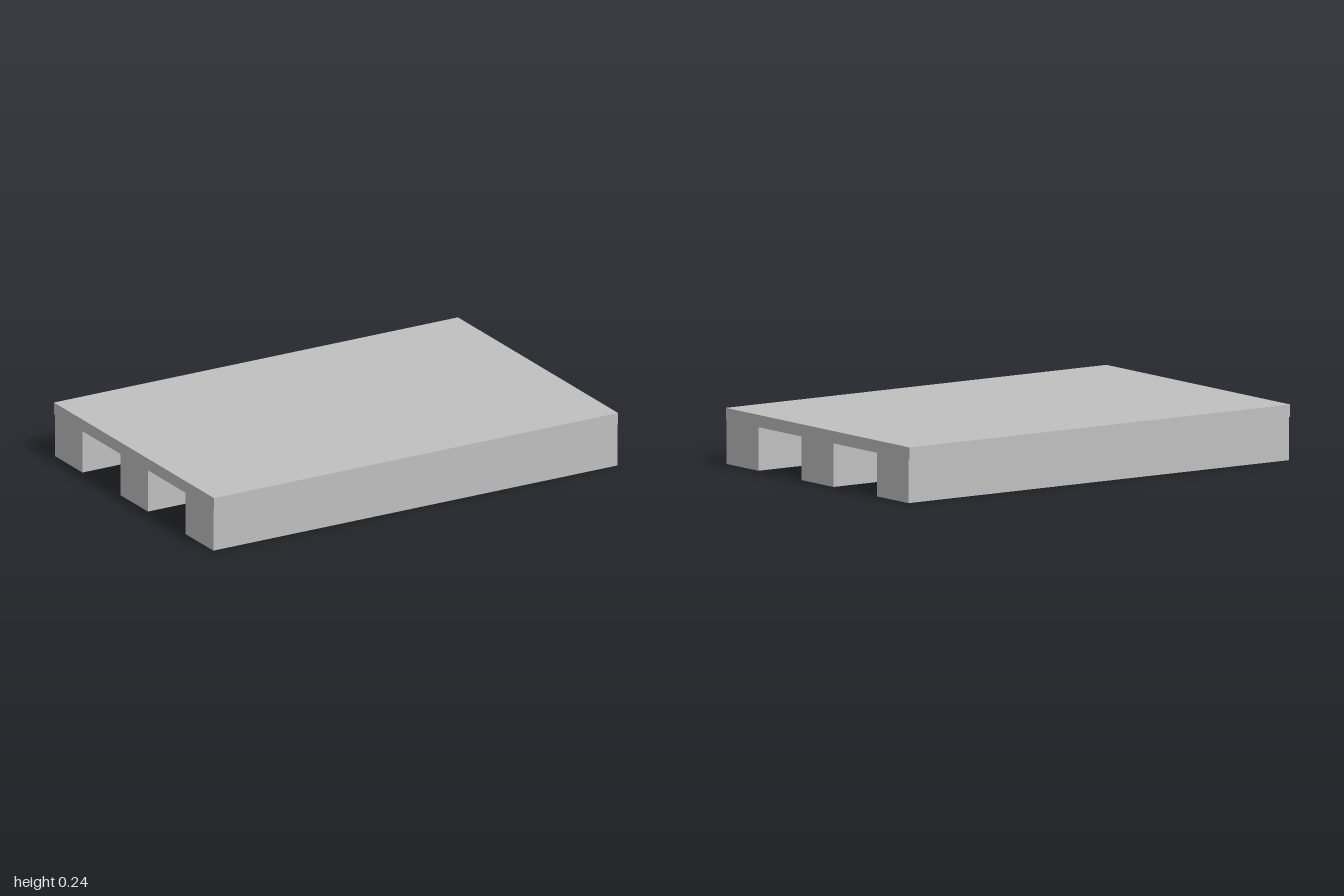
import * as THREE from 'three';

export function createModel() {
  const group = new THREE.Group();
  const grey = new THREE.MeshStandardMaterial({ color: 0xc0c0c0 });
  grey.name = 'light grey';

  const addBox = (name, depth, bottom, top, z) => {
    const mesh = new THREE.Mesh(new THREE.BoxGeometry(2, top - bottom, depth), grey);
    mesh.name = name;
    mesh.position.set(0, (bottom + top) / 2, z);
    group.add(mesh);
  };

  // Flat deck, slightly overhanging the outer runners
  const deckBottom = 0.188;
  addBox('deck', 1.334, deckBottom, 0.241, 0);

  // Three full-length runners under the deck
  const runners = { backRunner: -0.544, middleRunner: 0.001, frontRunner: 0.546 };
  for (const [name, z] of Object.entries(runners)) addBox(name, 0.23, 0, deckBottom, z);

  return group;
}
